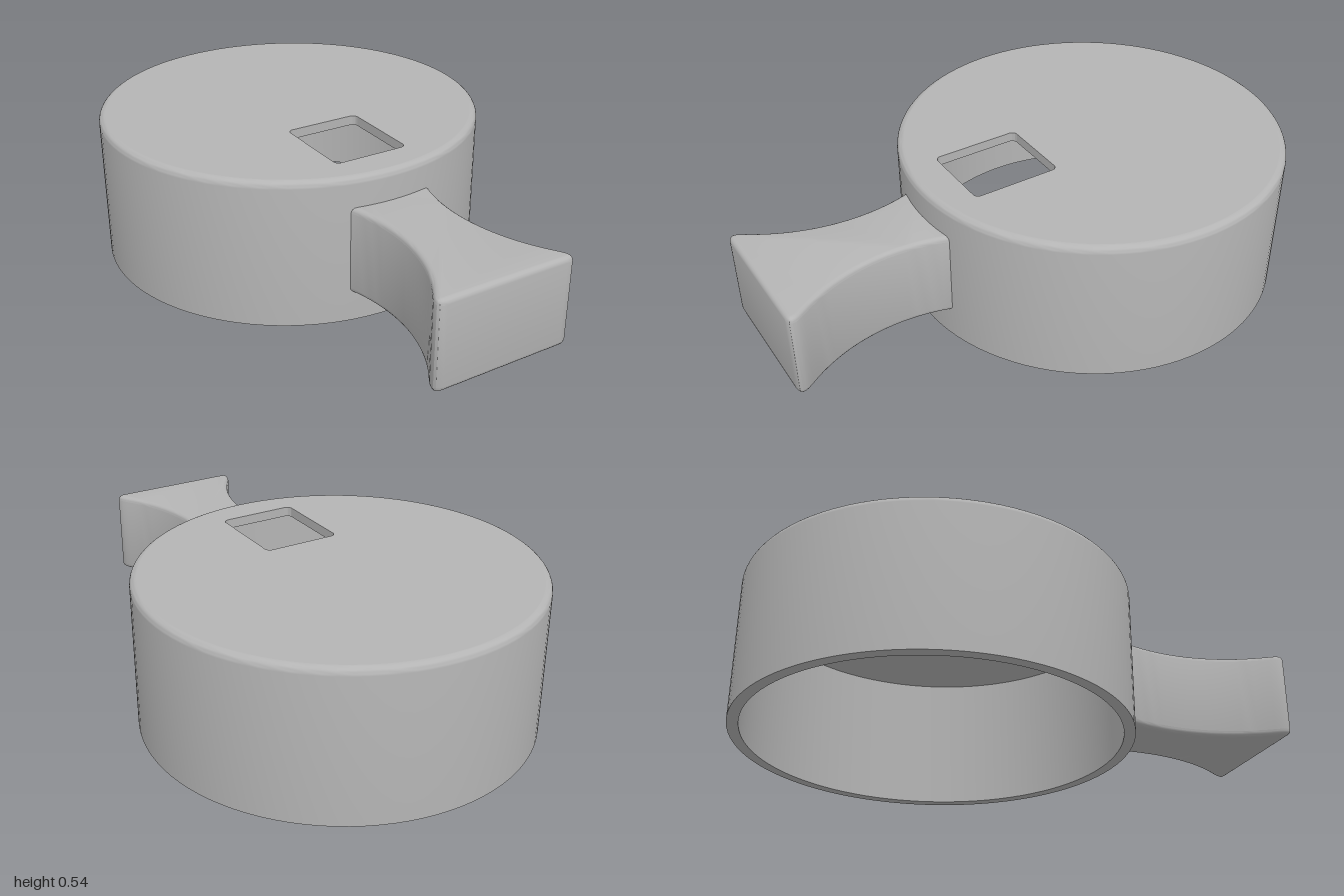
import * as THREE from 'three';
import { toCreasedNormals } from 'three/addons/utils/BufferGeometryUtils.js';

const CAP_Z = -0.3;      // centre of the round cap
const HEIGHT = 0.54;
const FILLET = 0.025;
const LID = 0.035;

const grey = new THREE.MeshStandardMaterial({ color: 0xb4b4b4 });
grey.name = 'grey';

function addPart(group, name, geometry, crease = 0.55) {
  const mesh = new THREE.Mesh(toCreasedNormals(geometry, crease), grey);
  mesh.name = name;
  group.add(mesh);
  return mesh;
}

function roundedRect(x0, y0, x1, y1, r) {
  const p = new THREE.Path();
  p.moveTo(x0 + r, y0);
  p.absarc(x1 - r, y0 + r, r, -Math.PI / 2, 0);
  p.absarc(x1 - r, y1 - r, r, 0, Math.PI / 2);
  p.absarc(x0 + r, y1 - r, r, Math.PI / 2, Math.PI);
  p.absarc(x0 + r, y0 + r, r, Math.PI, Math.PI * 1.5);
  return p;
}

// Hollow side wall with a rounded upper rim
function wallGeometry() {
  const profile = [[0.66, HEIGHT - LID], [0.66, 0], [0.7, 0]].map(([r, y]) => new THREE.Vector2(r, y));
  for (let i = 0; i <= 6; i++) {
    const a = (i / 6) * Math.PI / 2;
    profile.push(new THREE.Vector2(0.7 - FILLET + FILLET * Math.cos(a), HEIGHT - FILLET + FILLET * Math.sin(a)));
  }
  return new THREE.LatheGeometry(profile, 96).translate(0, 0, CAP_Z);
}

// Flat lid with a rectangular slot through it
function lidGeometry() {
  const disc = new THREE.Shape();
  disc.absarc(0, CAP_Z, 0.7 - FILLET, 0, Math.PI * 2);
  disc.holes.push(roundedRect(-0.14, -0.06, 0.14, 0.265, 0.02));
  return new THREE.ExtrudeGeometry(disc, { depth: LID, bevelEnabled: false, curveSegments: 48 })
    .rotateX(Math.PI / 2).translate(0, HEIGHT, 0);
}

// Waisted handle: concave sides, flared end, softened edges
function handleGeometry() {
  const R = 0.64, bevel = 0.018;
  const side = [];
  for (let i = 0; i <= 20; i++) {
    const a = -0.368 + (0.968 * i) / 20;
    side.push(new THREE.Vector2(0.125 + R - R * Math.cos(a), 0.58 + R * Math.sin(a)));
  }
  const corner = new THREE.QuadraticBezierCurve(side[20], new THREE.Vector2(0.277, 1), new THREE.Vector2(0.225, 1));
  side.push(...corner.getPoints(6).slice(1));
  const mirrored = side.map(p => new THREE.Vector2(-p.x, p.y)).reverse();
  // back edge follows the cap and stays inside its wall
  const back = [];
  for (let i = 1; i < 8; i++) {
    const a = Math.PI / 2 + 0.2534 * (1 - i / 4);
    back.push(new THREE.Vector2(0.67 * Math.cos(a), CAP_Z + 0.67 * Math.sin(a)));
  }
  const outline = new THREE.Shape([...side, ...mirrored, ...back]);
  return new THREE.ExtrudeGeometry(outline, {
    depth: 0.32 - 2 * bevel, bevelEnabled: true, bevelThickness: bevel,
    bevelSize: bevel, bevelOffset: -bevel, bevelSegments: 4,
  }).rotateX(Math.PI / 2).translate(0, 0.43 - bevel, 0);
}

export function createModel() {
  const model = new THREE.Group();
  model.name = 'cap with handle';
  addPart(model, 'wall', wallGeometry());
  addPart(model, 'lid', lidGeometry());
  addPart(model, 'handle', handleGeometry());
  return model;
}
